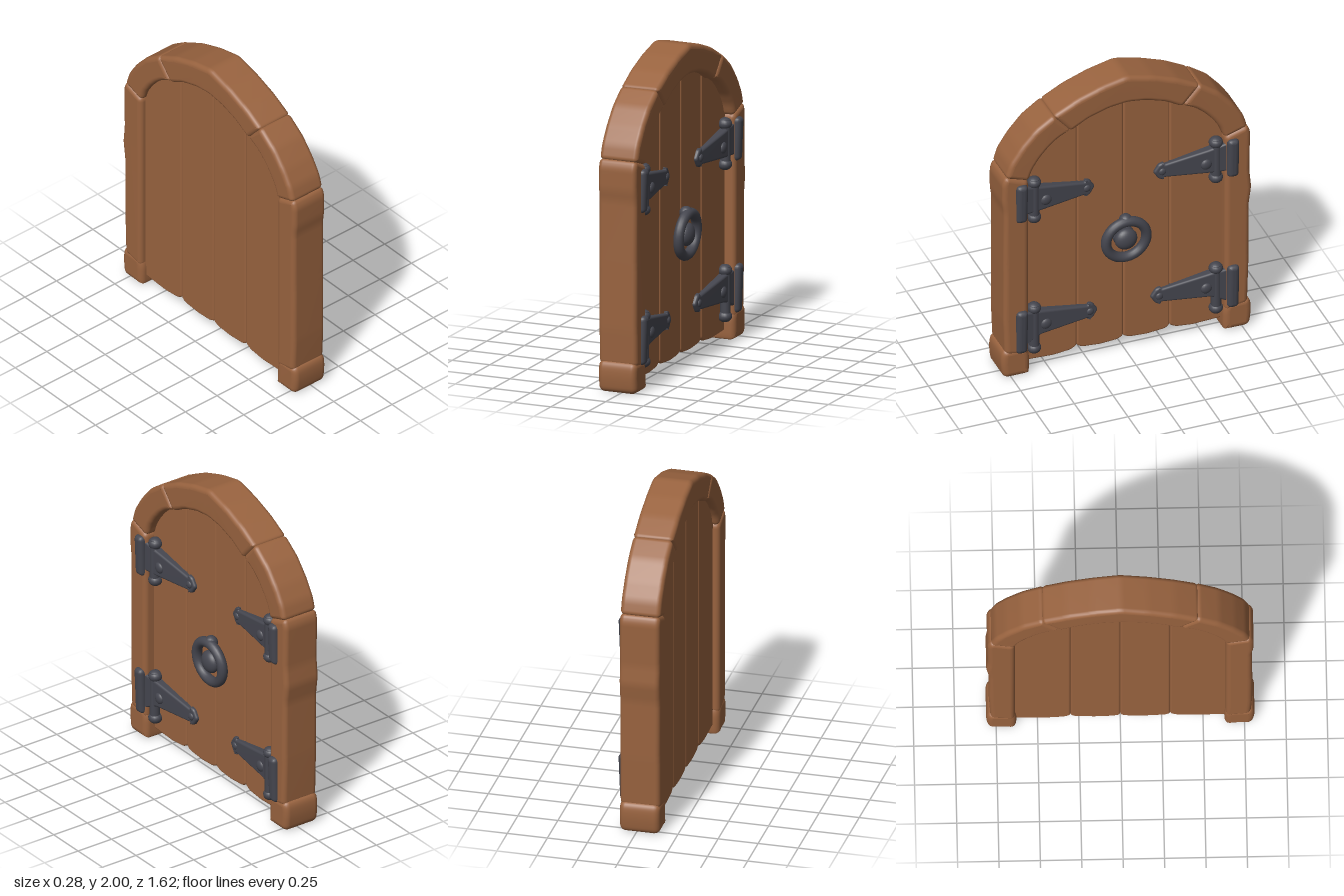
import * as THREE from 'three';
import { mergeVertices } from 'three/addons/utils/BufferGeometryUtils.js';

const wood = new THREE.MeshStandardMaterial({ color: 0x99633f });
wood.name = 'brown wood';
const iron = new THREE.MeshStandardMaterial({ color: 0x45464f });
iron.name = 'dark iron';

// Polygon outline with softened corners
function softShape(points, r) {
  const p = points.map(([x, y]) => new THREE.Vector2(x, y));
  const shape = new THREE.Shape();
  p.forEach((c, i) => {
    const toward = (q) => {
      const d = q.clone().sub(c);
      return c.clone().addScaledVector(d, Math.min(r / d.length(), 0.45));
    };
    const a = toward(p[(i + p.length - 1) % p.length]);
    const b = toward(p[(i + 1) % p.length]);
    if (i === 0) shape.moveTo(a.x, a.y);
    else shape.lineTo(a.x, a.y);
    shape.quadraticCurveTo(c.x, c.y, b.x, b.y);
  });
  shape.closePath();
  return shape;
}

// Thick slab between depths z0 and z1 with rounded edges; lean(x, y, z) may move its depth
function slab(name, points, z0, z1, bevel, round, material, lean = (x, y, z) => z) {
  const extruded = new THREE.ExtrudeGeometry(softShape(points, round), {
    depth: z1 - z0 - 2 * bevel, bevelEnabled: true, bevelThickness: bevel,
    bevelSize: bevel, bevelOffset: -bevel, bevelSegments: 5, curveSegments: 5,
  });
  extruded.translate(0, 0, z0 + bevel);
  extruded.deleteAttribute('normal');
  extruded.deleteAttribute('uv');
  const geo = mergeVertices(extruded, 1e-5);
  const pos = geo.attributes.position;
  for (let i = 0; i < pos.count; i++) pos.setZ(i, lean(pos.getX(i), pos.getY(i), pos.getZ(i)));
  geo.computeVertexNormals();
  const mesh = new THREE.Mesh(geo, material);
  mesh.name = name;
  return mesh;
}

function part(name, geo, x, y, z, material = iron) {
  const mesh = new THREE.Mesh(geo, material);
  mesh.name = name;
  mesh.position.set(x, y, z);
  return mesh;
}

const flip = (points, s) => points.map(([x, y]) => [x * s, y]);
const BACK = -0.145, FRONT = 0.105, PANEL_BACK = -0.103, PANEL = 0.038;

// Strap hinge; s is the side, y the strap height, tip the reach towards the middle, low and high the plate ends
function hinge(s, y, tip, low, high) {
  const g = new THREE.Group();
  g.name = 'hinge';
  g.add(slab('hingePlate', flip([[0.648, low], [0.722, low], [0.722, high], [0.648, high]], s),
    0.07, 0.13, 0.028, 0.03, iron, (x, py, z) => (z > 0.1 ? z + 0.04 * (py - (low + high) / 2) : z)));

  const neck = tip + 0.065;
  g.add(slab('hingeStrap', flip([
    [0.66, low + 0.04], [0.66, high - 0.03], [0.55, y + 0.1], [neck, y + 0.045], [neck + 0.005, y + 0.06],
    [neck - 0.03, y + 0.053], [tip, y], [neck - 0.03, y - 0.053], [neck + 0.005, y - 0.06], [neck, y - 0.045],
    [0.55, y - 0.07],
  ], s), 0.02, 0.08, 0.014, 0.014, iron,
  // The strap leans from the frame down to the planks
  (x, py, z) => (z > 0.05 ? z - 0.022 + 0.04 * (Math.abs(x) - tip) / (0.66 - tip) : z)));

  // Pin with a knob at each end
  const pin = new THREE.CylinderGeometry(0.032, 0.032, high - low, 16);
  g.add(part('hingePin', pin, s * 0.59, (low + high) / 2, 0.065));
  for (const ky of [low - 0.005, high - 0.025]) {
    const knob = part('pinKnob', new THREE.SphereGeometry(0.044, 16, 12), s * 0.59, ky, 0.062);
    knob.scale.y = 0.85;
    g.add(knob);
  }
  for (const [x, r, z] of [[0.52, 0.036, 0.084], [neck - 0.01, 0.024, 0.061]]) {
    const rivet = part('rivet', new THREE.SphereGeometry(r, 16, 10), s * x, y, z);
    rivet.scale.z = 0.5;
    g.add(rivet);
  }
  return g;
}

export function createModel() {
  const model = new THREE.Group();
  model.name = 'archedDoor';
  const door = new THREE.Group();
  door.name = 'door';
  door.rotation.y = Math.PI / 2;
  model.add(door);

  for (const s of [-1, 1]) {
    // Planks, tucked in behind the arch and touching along their seams
    door.add(slab('innerPlank', flip([[0, 0.08], [0.04, 0.062], [0.15, 0.055], [0.27, 0.065], [0.301, 0.085],
      [0.301, 1.78], [0.15, 1.84], [0, 1.87]], s), PANEL_BACK, PANEL, 0.012, 0.015, wood));
    door.add(slab('outerPlank', flip([[0.301, 0.085], [0.34, 0.062], [0.45, 0.05], [0.67, 0.06],
      [0.68, 1.42], [0.64, 1.5], [0.52, 1.65], [0.4, 1.74], [0.301, 1.79]], s), PANEL_BACK, PANEL, 0.012, 0.015, wood));

    // Side posts with slightly worn outer edges
    const edge = s > 0
      ? [[0.785, 0.17], [0.795, 0.5], [0.795, 0.88], [0.812, 1.0], [0.8, 1.12]]
      : [[0.788, 0.17], [0.797, 0.4], [0.797, 0.8], [0.795, 1.2], [0.805, 1.27]];
    door.add(slab('post', flip([[0.637, 0.14], ...edge, [0.805, 1.41], [0.782, 1.458], [0.637, 1.408]], s),
      BACK, FRONT, 0.03, 0.03, wood));
    door.add(slab('postFoot', flip([[0.628, 0.01], [0.64, 0], [0.8, 0], [0.812, 0.1], [0.808, 0.17], [0.785, 0.2],
      [0.65, 0.195], [0.628, 0.14]], s), BACK, FRONT, 0.036, 0.04, wood));

    // Curved side block of the arch
    door.add(slab('archSide', flip([[0.636, 1.4], [0.786, 1.45], [0.757, 1.54], [0.692, 1.64], [0.6, 1.745],
      [0.472, 1.835], [0.36, 1.705], [0.45, 1.66], [0.51, 1.608], [0.565, 1.545], [0.61, 1.475]], s),
      BACK, FRONT, 0.03, 0.028, wood));

    door.add(hinge(s, 1.23, 0.19, 1.115, 1.388));
    door.add(hinge(s, 0.328, 0.17, 0.165, 0.472));
  }

  // Pointed top block of the arch
  const half = [[0.362, 1.694], [0.479, 1.828], [0.33, 1.907], [0.17, 1.965]];
  const under = [[0.12, 1.8], [0.25, 1.758]];
  door.add(slab('archTop', [...half, [0, 2.005], ...flip(half, -1).reverse(),
    ...flip(under, -1).reverse(), [0, 1.815], ...under], BACK, FRONT, 0.03, 0.028, wood));

  // Ring handle, its top leaning slightly outwards
  const handle = new THREE.Group();
  handle.name = 'ringHandle';
  handle.position.y = 0.815;
  const ring = part('ring', new THREE.TorusGeometry(0.131, 0.032, 14, 40), 0, 0, 0.085);
  ring.rotation.x = 0.05;
  handle.add(ring);
  const base = part('knobBase', new THREE.CylinderGeometry(0.06, 0.072, 0.045, 28), 0, 0, 0.05);
  base.rotation.x = Math.PI / 2;
  handle.add(base);
  const knob = part('knob', new THREE.SphereGeometry(0.072, 24, 16), 0, 0, 0.08);
  knob.scale.z = 0.62;
  handle.add(knob);
  handle.add(part('ringLoop', new THREE.SphereGeometry(0.042, 16, 12), 0, 0.133, 0.075));
  door.add(handle);

  return model;
}
